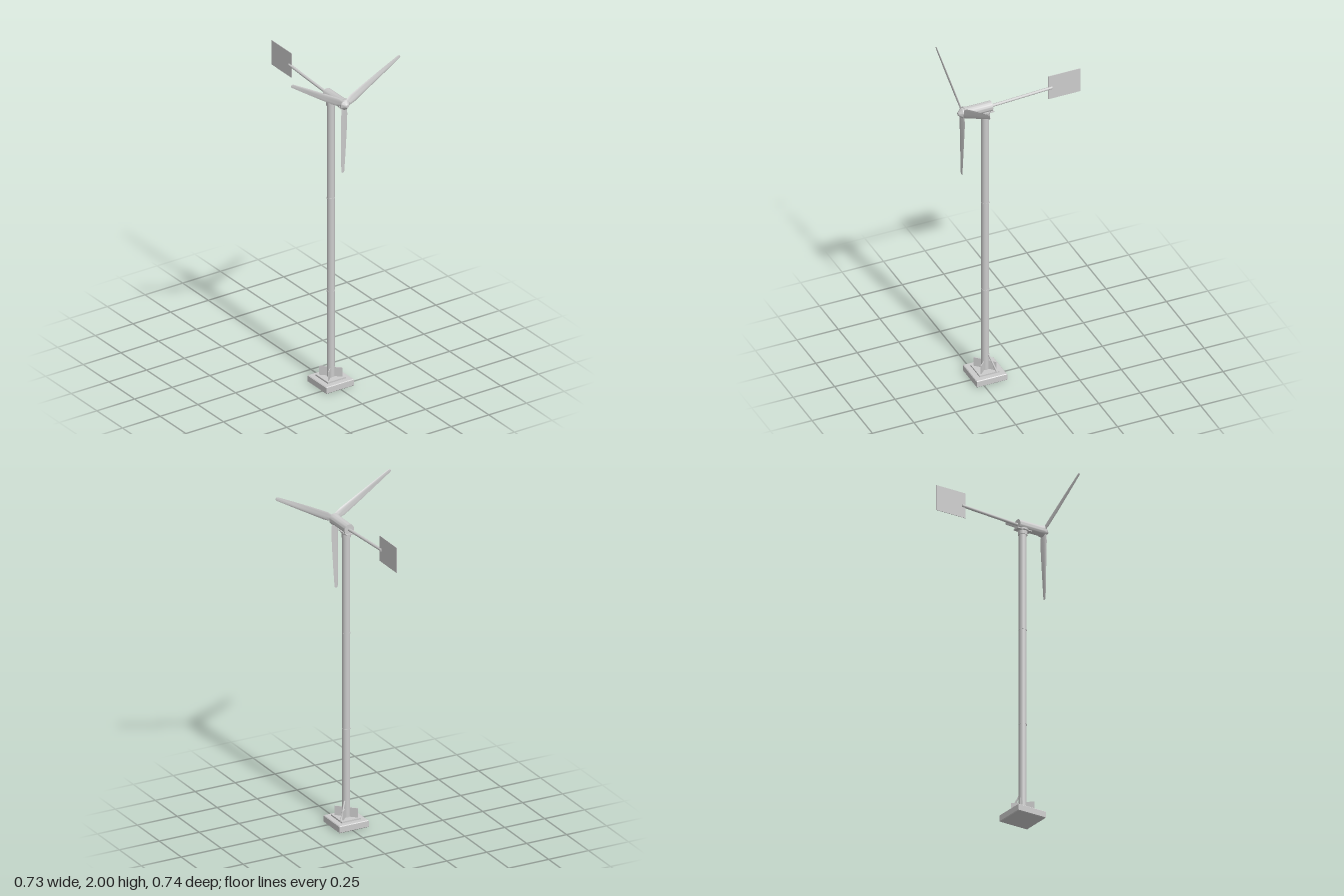
import * as THREE from 'three';
import { toCreasedNormals } from 'three/addons/utils/BufferGeometryUtils.js';

const CX = -0.007, PZ = 0.204, HUB_Y = 1.78, HUB_Z = 0.34;

export function createModel() {
  const root = new THREE.Group();
  const mat = new THREE.MeshStandardMaterial({ color: 0xcccccc });
  const matDouble = new THREE.MeshStandardMaterial({ color: 0xcccccc, side: THREE.DoubleSide });

  function add(parent, name, geo, x = 0, y = 0, z = 0, material = mat) {
    const m = new THREE.Mesh(geo, material);
    m.name = name;
    m.position.set(x, y, z);
    parent.add(m);
    return m;
  }
  const lathe = (pts, n = 24) => toCreasedNormals(
    new THREE.LatheGeometry(pts.map(p => new THREE.Vector2(...p)), n), 0.6);

  // Rod between two points
  function rod(parent, name, a, b, r) {
    const A = new THREE.Vector3(...a), B = new THREE.Vector3(...b), d = B.clone().sub(A);
    const m = add(parent, name, new THREE.CylinderGeometry(r, r, d.length(), 12));
    m.position.copy(A).add(B).multiplyScalar(0.5);
    m.quaternion.setFromUnitVectors(new THREE.Vector3(0, 1, 0), d.normalize());
    return m;
  }

  // Tower group: everything around the pole axis
  const tower = new THREE.Group();
  tower.name = 'tower';
  tower.position.set(CX, 0, PZ);
  root.add(tower);

  // Foundation slab with a small bevel, and the footplate on it
  const s = 0.088, slab = new THREE.Shape();
  slab.moveTo(-s, -s).lineTo(s, -s).lineTo(s, s).lineTo(-s, s).closePath();
  const slabGeo = new THREE.ExtrudeGeometry(slab, {
    depth: 0.034, bevelThickness: 0.004, bevelSize: 0.004, bevelSegments: 1 });
  slabGeo.rotateX(-Math.PI / 2);
  add(tower, 'foundation', slabGeo, 0, 0.004, 0);
  add(tower, 'footplate', new THREE.BoxGeometry(0.12, 0.01, 0.12), 0, 0.046, 0);

  // Diagonal stiffening fins at the foot
  for (let i = 0; i < 2; i++) {
    const fin = add(tower, 'footFin', new THREE.BoxGeometry(0.132, 0.056, 0.005), 0, 0.078, 0);
    fin.rotation.y = Math.PI / 4 + i * Math.PI / 2;
  }

  // Cable conduit leaving the pole
  rod(tower, 'conduit', [0.016, 0.15, -0.012], [0.058, 0.045, -0.046], 0.005);

  // Pole, section joints and top collar
  add(tower, 'pole', new THREE.CylinderGeometry(0.022, 0.022, 1.7, 24), 0, 0.9, 0);
  for (const y of [0.577, 1.15])
    add(tower, 'poleJoint', new THREE.CylinderGeometry(0.0235, 0.0235, 0.006, 24), 0, y, 0);
  add(tower, 'yawCollar', lathe([[0, 1.722], [0.026, 1.722], [0.026, 1.745], [0.03, 1.75], [0.03, 1.76], [0, 1.76]]));
  add(tower, 'yawPlate', new THREE.BoxGeometry(0.045, 0.006, 0.092), 0, 1.752, 0);

  // Nacelle: generator housing flaring at the front
  const nacelle = lathe([[0, 0.168], [0.0295, 0.168], [0.0295, 0.312], [0.034, 0.33], [0.034, 0.334], [0, 0.334]], 32);
  nacelle.rotateX(Math.PI / 2);
  add(root, 'nacelle', nacelle, CX, HUB_Y, 0);

  // Tail boom and vane
  rod(root, 'tailBoom', [CX, 1.778, 0.175], [CX, 1.797, -0.2], 0.0085);
  add(root, 'tailVane', new THREE.BoxGeometry(0.003, 0.15, 0.193), CX, 1.801, -0.2735);

  // Rotor with hub, nose cone and three blades
  const rotor = new THREE.Group();
  rotor.name = 'rotor';
  rotor.position.set(CX, HUB_Y, HUB_Z);
  root.add(rotor);
  const hub = lathe([[0, -0.006], [0.029, -0.006], [0.029, 0.005], [0.022, 0.013], [0.009, 0.028], [0, 0.029]]);
  hub.rotateX(Math.PI / 2);
  add(rotor, 'hub', hub);

  const bladeGeo = makeBlade();
  for (let i = 0; i < 3; i++)
    add(rotor, 'blade', bladeGeo, 0, 0, 0, matDouble).rotation.z = i * Math.PI * 2 / 3;
  return root;
}

// Blade pointing down: twisted, tapering aerofoil sections joined in loops
function makeBlade() {
  // radius, leading edge x, trailing edge x, thickness, pitch
  const sections = [
    [0.018, -0.022, 0.014, 0.010, 0.24],
    [0.06, -0.027, 0.021, 0.009, 0.22],
    [0.16, -0.026, 0.016, 0.007, 0.16],
    [0.29, -0.025, 0.007, 0.005, 0.10],
    [0.405, -0.023, -0.002, 0.003, 0.05],
    [0.415, -0.019, -0.005, 0.002, 0.05],
  ];
  const N = 12, pos = [], idx = [];
  for (const [r, lead, trail, t, pitch] of sections) {
    for (let j = 0; j < N; j++) {
      const a = j / N * Math.PI * 2;
      const u = (1 - Math.cos(a)) / 2;
      const x = lead + (trail - lead) * u;
      const z = Math.sin(a) * t / 2 * (1.25 - 0.7 * u) - (x - (lead + trail) / 2) * Math.tan(pitch);
      pos.push(x, -r, z);
    }
  }
  for (let i = 0; i < sections.length - 1; i++)
    for (let j = 0; j < N; j++) {
      const a = i * N + j, b = i * N + (j + 1) % N, c = a + N, d = b + N;
      idx.push(a, c, b, b, c, d);
    }
  // Root and tip caps
  const last = (sections.length - 1) * N;
  for (let j = 1; j < N - 1; j++) {
    idx.push(0, j, j + 1);
    idx.push(last, last + j + 1, last + j);
  }
  const g = new THREE.BufferGeometry();
  g.setAttribute('position', new THREE.Float32BufferAttribute(pos, 3));
  g.setIndex(idx);
  g.computeVertexNormals();
  return toCreasedNormals(g, 0.9);
}
